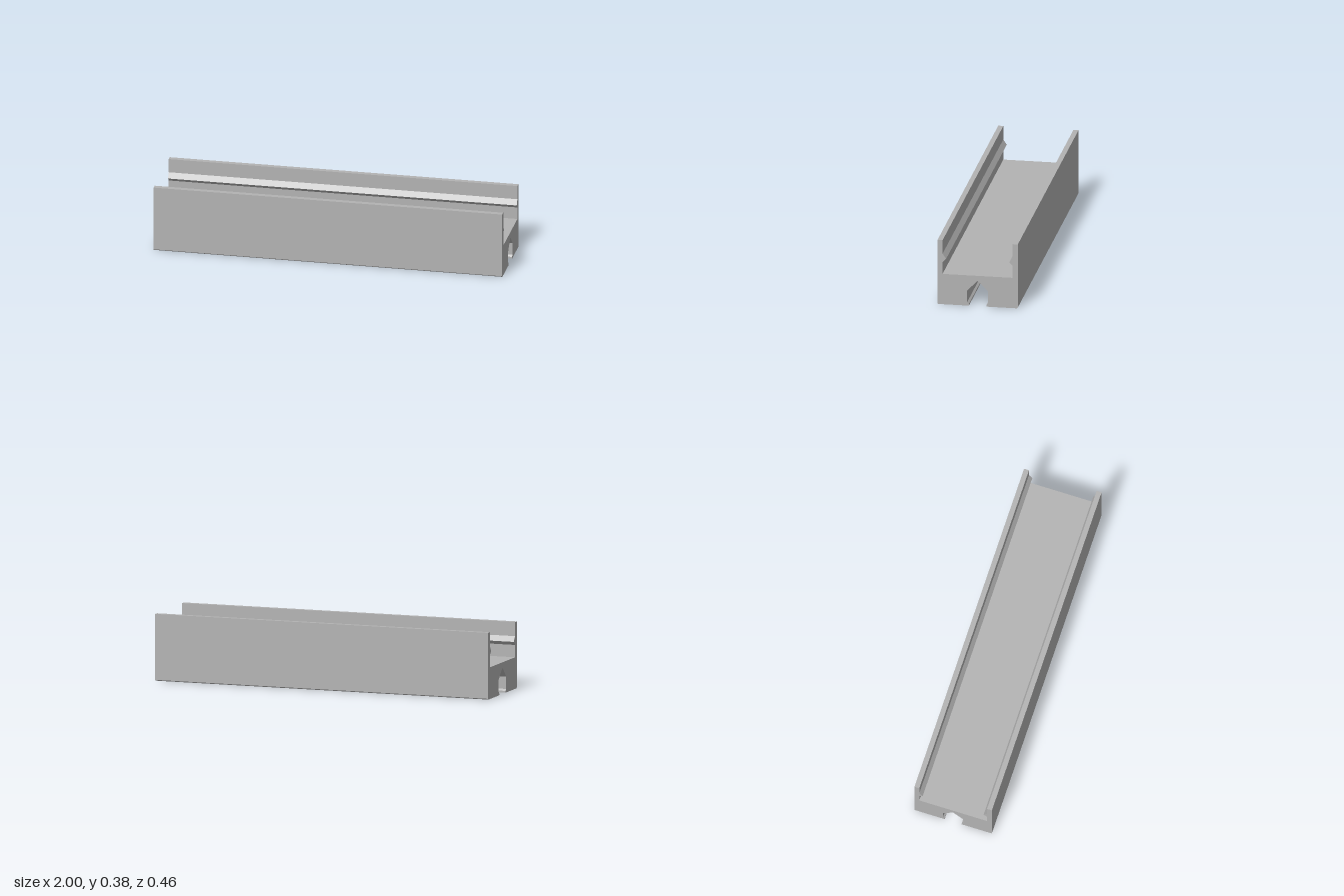
import * as THREE from 'three';

export function createModel() {
  const group = new THREE.Group();
  group.name = 'channelRail';
  const grey = new THREE.MeshStandardMaterial({ color: 0xb3b3b3 });
  grey.name = 'plain grey';

  // Half of the cross-section as [z, y], from the slot apex round to the channel floor
  const half = [
    [0.06, 0.09], [0.06, 0.02], [0.05, 0.01], [0.05, 0], // slot with retaining lip
    [0.225, 0], [0.229, 0.005], [0.229, 0.38], [0.2, 0.38], // chamfered foot and outer wall
    [0.2, 0.3], [0.18, 0.27], [0.2, 0.25], [0.2, 0.18], // snap ridge and floor corner
  ];
  const mirrored = half.map(([z, y]) => [-z, y]).reverse();
  const outline = [[0, 0.15], ...half, ...mirrored];

  // Extrude the profile along x
  const shape = new THREE.Shape(outline.map(([z, y]) => new THREE.Vector2(z, y)));
  const geometry = new THREE.ExtrudeGeometry(shape, { depth: 2, bevelEnabled: false });
  geometry.translate(0, 0, -1);
  geometry.rotateY(Math.PI / 2);

  const rail = new THREE.Mesh(geometry, grey);
  rail.name = 'rail';
  group.add(rail);
  return group;
}
